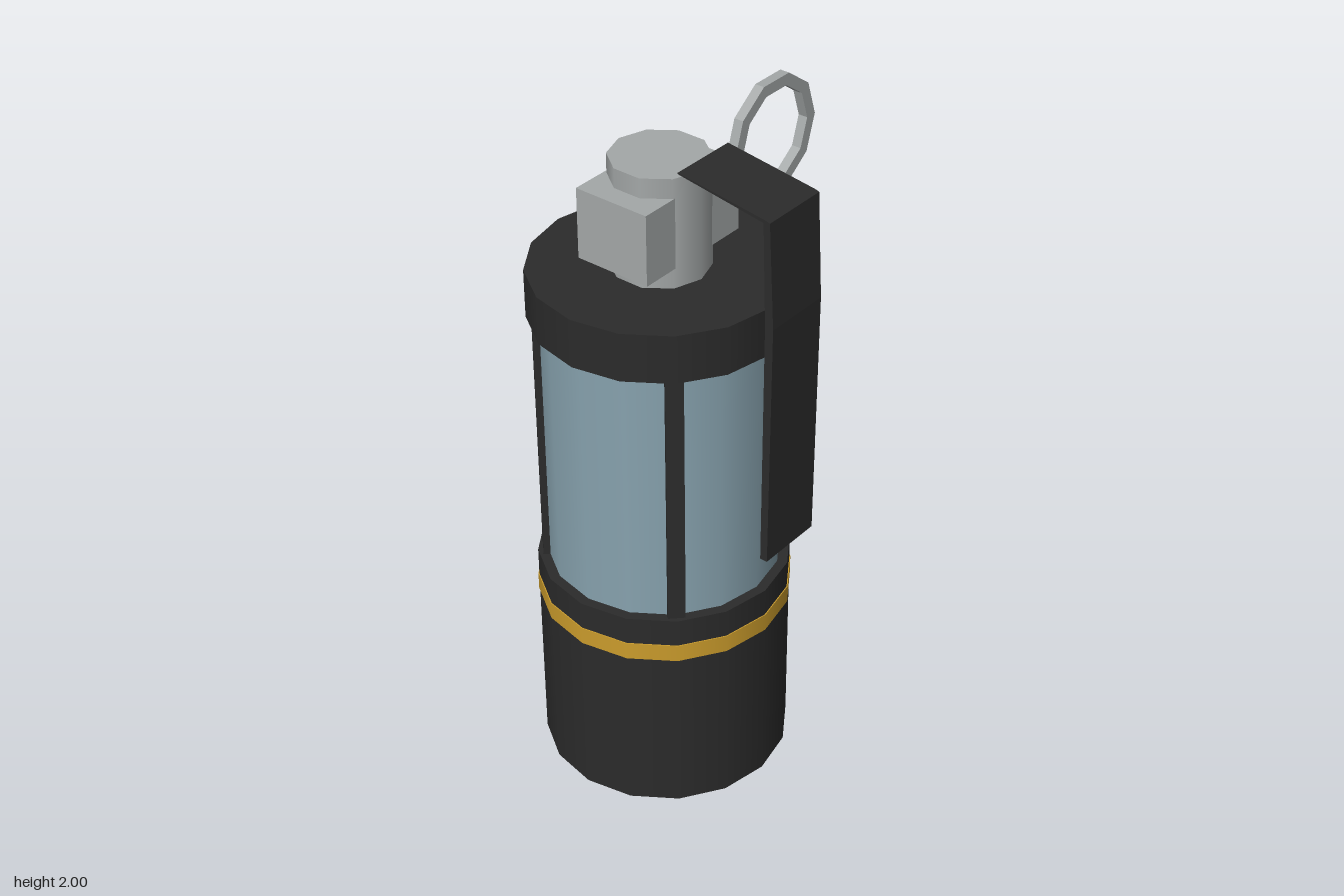
import * as THREE from 'three';

export function createModel() {
  const model = new THREE.Group();
  model.name = 'canister';
  const CX = -0.15, CZ = -0.042;

  const material = (name, color) => {
    const m = new THREE.MeshStandardMaterial({ color });
    m.name = name;
    return m;
  };
  const black = material('black casing', 0x2b2b2b);
  const blue = material('pale blue body', 0x87a2ae);
  const gold = material('gold band', 0xcb9c2c);
  const grey = material('grey metal', 0xa4a8a8);

  const add = (name, geometry, mat, x = 0, y = 0, z = 0) => {
    const mesh = new THREE.Mesh(geometry, mat);
    mesh.name = name;
    mesh.position.set(x, y, z);
    model.add(mesh);
    return mesh;
  };

  // Upright cylinder on the body axis, spanning two heights
  const drum = (name, radius, y0, y1, mat, sides = 16) =>
    add(name, new THREE.CylinderGeometry(radius, radius, y1 - y0, sides), mat, CX, (y0 + y1) / 2, CZ);

  // Body
  drum('base', 0.37, 0, 0.683, black);
  drum('band', 0.373, 0.54, 0.595, gold);
  drum('innerBody', 0.34, 0.68, 1.49, blue);
  drum('topCap', 0.37, 1.485, 1.632, black);

  // Four upright ribs between base and cap
  for (let i = 0; i < 4; i++) {
    const a = Math.PI / 4 + i * Math.PI / 2;
    const rib = add('rib', new THREE.BoxGeometry(0.05, 0.81, 0.04), black,
      CX + Math.sin(a) * 0.335, 1.084, CZ + Math.cos(a) * 0.335);
    rib.rotation.y = a;
  }

  // Fuze head
  drum('fuzeHead', 0.14, 1.63, 1.96, grey, 10);
  add('fuzeBlock', new THREE.BoxGeometry(0.385, 0.21, 0.236), grey, -0.152, 1.797, -0.045);

  // Pull pin and ten-sided ring
  const pin = add('pin', new THREE.CylinderGeometry(0.016, 0.016, 0.15, 8), grey, 0.105, 1.812, CZ);
  pin.rotation.z = Math.PI / 2;

  const decagon = (r) => Array.from({ length: 10 }, (_, i) =>
    new THREE.Vector2(Math.cos(i * Math.PI / 5) * r, Math.sin(i * Math.PI / 5) * r));
  const ringShape = new THREE.Shape(decagon(0.183));
  ringShape.holes.push(new THREE.Path(decagon(0.147).reverse()));
  const ring = new THREE.ExtrudeGeometry(ringShape, { depth: 0.03, bevelEnabled: false });
  add('pullRing', ring, grey, 0.337, 1.813, CZ - 0.017);

  // Safety lever: side profile (z, y) extruded across its width
  const leverShape = new THREE.Shape([
    [0.105, 2.0], [0.105, 1.996], [0.38, 1.953], [0.39, 1.65], [0.387, 0.893],
    [0.41, 0.893], [0.416, 1.65], [0.4, 1.958], [0.385, 1.962],
  ].map(([z, y]) => new THREE.Vector2(z, y)));
  const lever = new THREE.ExtrudeGeometry(leverShape, { depth: 0.206, bevelEnabled: false });
  lever.rotateY(-Math.PI / 2);
  add('lever', lever, black, -0.048, 0, 0);

  return model;
}
